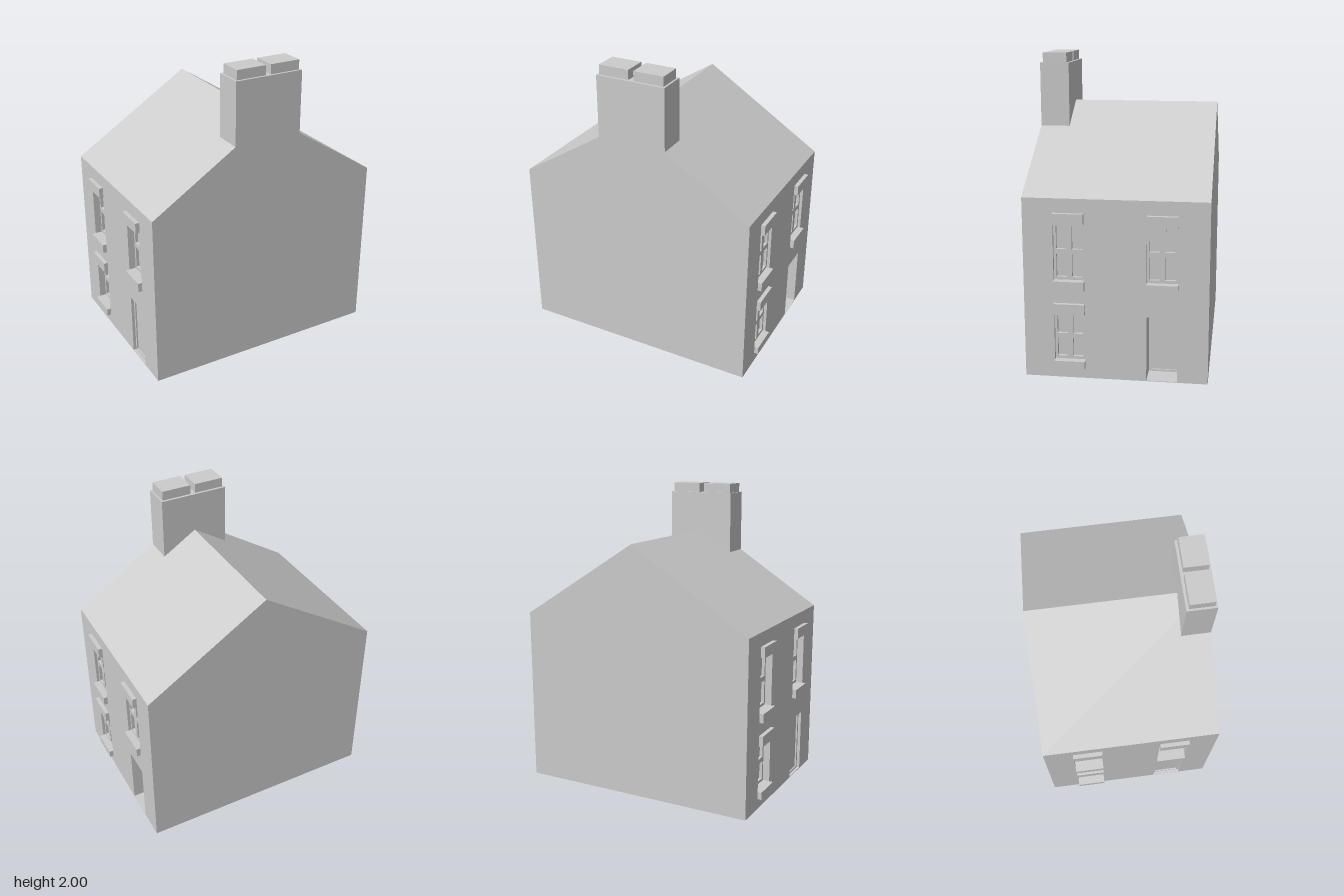
import * as THREE from 'three';

const W = 0.806, D = 0.577;            // half width (x) and half depth (z)
const EAVES = 1.16, RIDGE = 1.672;
const WALL = 0.18;                     // thickness of the walls with openings
const BAY = 0.29, OPEN = 0.194;        // bay offset from centre, opening width

const grey = new THREE.MeshStandardMaterial({ color: 0xcccccc });

function add(parent, name, geometry, x = 0, y = 0, z = 0) {
  const mesh = new THREE.Mesh(geometry, grey);
  mesh.name = name;
  mesh.position.set(x, y, z);
  parent.add(mesh);
  return mesh;
}

const polygon = (pts) => new THREE.Shape(pts.map(([x, y]) => new THREE.Vector2(x, y)));
const rect = (x0, x1, y0, y1) => [[x0, y0], [x1, y0], [x1, y1], [x0, y1]];

// Flat slab with rectangular holes, front face at z = 0
function slab(outline, holes, depth) {
  const shape = polygon(outline);
  for (const h of holes) shape.holes.push(polygon([...h].reverse()));
  const g = new THREE.ExtrudeGeometry(shape, { depth, bevelEnabled: false });
  return g.translate(0, 0, -depth);
}

// Four-pane window with lintel and sill, set back in its opening
function makeWindow(x, y0, y1, lintelTop, sillBottom, recess) {
  const g = new THREE.Group();
  g.name = 'window';
  const mid = (y0 + y1) / 2, panes = [];
  for (const s of [-1, 1]) {
    const px = x + s * 0.049;
    panes.push(rect(px - 0.032, px + 0.032, y0 + 0.018, mid - 0.016));
    panes.push(rect(px - 0.032, px + 0.032, mid + 0.016, y1 - 0.018));
  }
  const h = OPEN / 2;
  add(g, 'windowFrame', slab(rect(x - h, x + h, y0, y1), panes, 0.025), 0, 0, -recess);
  add(g, 'glass', new THREE.BoxGeometry(OPEN, y1 - y0, 0.01), x, mid, -recess - 0.025);
  for (const [name, a, b] of [['lintel', y1, lintelTop], ['sill', sillBottom, y0]]) {
    add(g, name, new THREE.BoxGeometry(OPEN, b - a, 0.047), x, (a + b) / 2, 0.0035);
  }
  return g;
}

// Panelled door inside a thin surround
function makeDoor(x, recess) {
  const g = new THREE.Group();
  g.name = 'door';
  const h = OPEN / 2;
  add(g, 'doorFrame', slab(rect(x - h, x + h, 0.004, 0.423),
    [rect(x - 0.081, x + 0.081, 0.016, 0.407)], 0.015), 0, 0, -recess);
  add(g, 'doorPanel', new THREE.BoxGeometry(OPEN, 0.415, 0.01), x, 0.2125, -recess - 0.015);
  return g;
}

// One side elevation, facing local +z
function makeSide(windowRecess, doorRecess) {
  const g = new THREE.Group();
  const h = OPEN / 2;
  const hole = (x, a, b) => rect(x - h, x + h, a, b);
  add(g, 'sideWall', slab(rect(-D, D, 0, EAVES), [
    hole(-BAY, 0.64, 1.0), hole(BAY, 0.64, 1.0),
    hole(-BAY, 0.117, 0.423), hole(BAY, 0.004, 0.423),
  ], WALL));
  g.add(makeWindow(-BAY, 0.64, 1.0, 1.07, 0.58, windowRecess));
  g.add(makeWindow(BAY, 0.64, 1.0, 1.07, 0.58, windowRecess));
  g.add(makeWindow(-BAY, 0.117, 0.423, 0.493, 0.067, windowRecess));
  g.add(makeDoor(BAY, doorRecess));
  return g;
}

export function createModel() {
  const house = new THREE.Group();
  house.name = 'house';

  // Gabled core: end walls, floor and roof slopes between the side walls
  const inner = W - WALL;
  add(house, 'gableAndRoof', slab([
    [-inner, 0], [inner, 0], [inner, EAVES], [W, EAVES],
    [0, RIDGE], [-W, EAVES], [-inner, EAVES],
  ], [], 2 * D), 0, 0, D);

  // Side elevations, the same arrangement turned half round
  const right = makeSide(0.02, 0.15);
  right.name = 'eastSide';
  right.position.x = W;
  right.rotation.y = Math.PI / 2;
  const left = makeSide(0.045, 0.02);
  left.name = 'westSide';
  left.position.x = -W;
  left.rotation.y = -Math.PI / 2;
  house.add(right, left);

  // Chimney stack, notched over the ridge and flush with the front gable
  const c = 0.234, roofAtC = RIDGE - (RIDGE - EAVES) * c / W;
  add(house, 'chimneyStack', slab([
    [-c, roofAtC], [0, RIDGE], [c, roofAtC], [c, 1.937], [-c, 1.937],
  ], [], 0.19), 0, 0, D);

  // Pair of square chimney pots
  for (const s of [-1, 1]) {
    add(house, 'chimneyPot', new THREE.BoxGeometry(0.203, 0.07, 0.157), s * 0.119, 1.965, 0.483);
  }
  return house;
}
